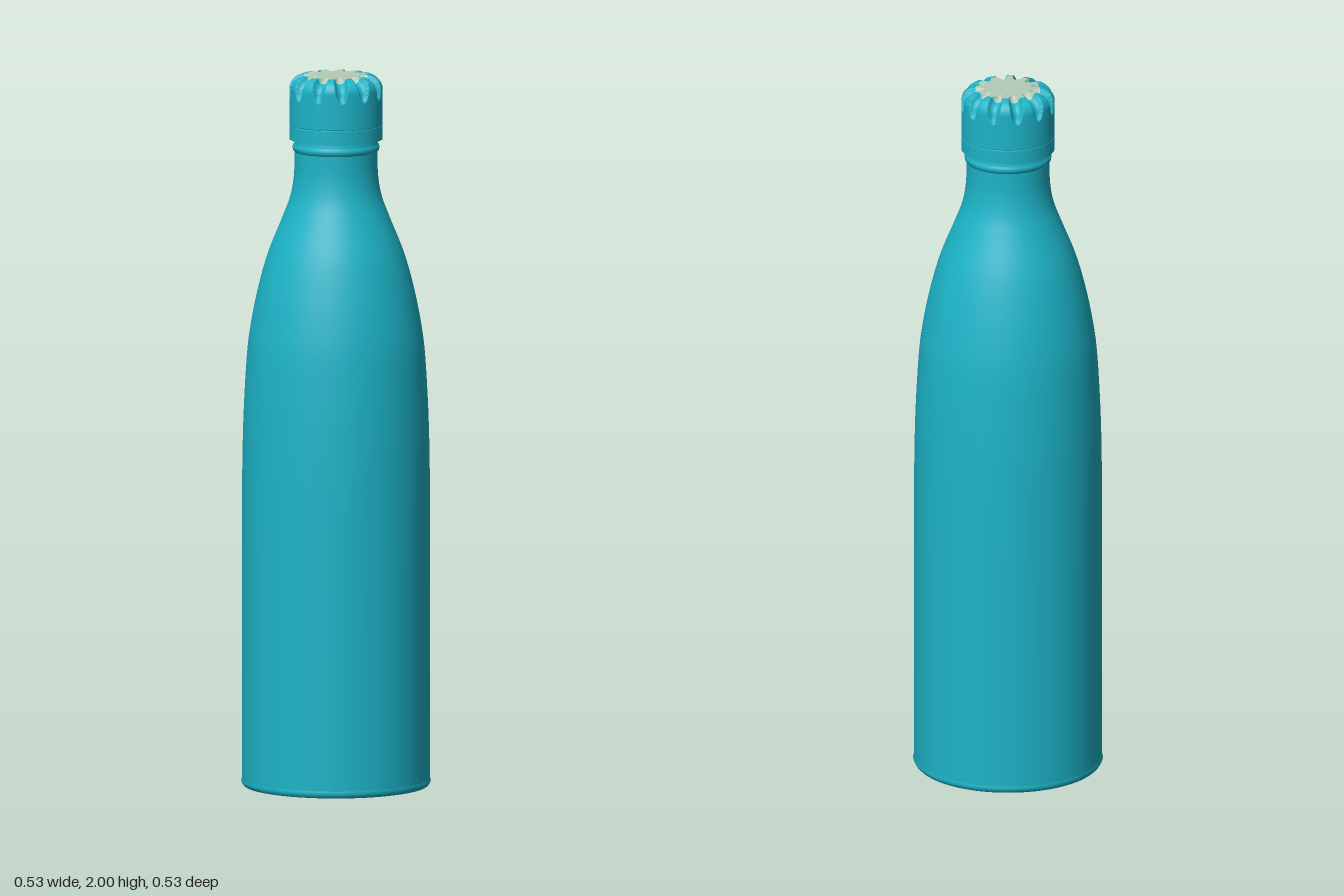
import * as THREE from 'three';

const TEAL = 0x1cb4c8, CREAM = 0xb4ccb8;
const CAP_R = 0.13, ROUND = 0.04, FLAT_R = CAP_R - ROUND, ARC = ROUND * Math.PI / 2;
const GROOVES = 12;

const material = (color) => new THREE.MeshStandardMaterial({ color, side: THREE.DoubleSide });

function lathe(name, points, color, segments = 96) {
  const mesh = new THREE.Mesh(new THREE.LatheGeometry(points, segments), material(color));
  mesh.name = name;
  return mesh;
}

const toPoints = (list) => list.map(([r, y]) => new THREE.Vector2(r, y));

// Cap outline by arc length s: flat top (s < 0), rounded shoulder, straight side
function capOutline(s) {
  if (s < 0) return { r: FLAT_R + s, y: 2, a: Math.PI / 2 };
  if (s > ARC) return { r: CAP_R, y: 2 - ROUND - (s - ARC), a: 0 };
  const a = Math.PI / 2 - s / ROUND;
  return { r: FLAT_R + ROUND * Math.cos(a), y: 2 - ROUND + ROUND * Math.sin(a), a };
}

// Part of the cap between two arc lengths, with the elliptical finger scoops pressed in
function scoopedSurface(name, sLow, sHigh, steps, color) {
  const samples = [];
  for (let j = 0; j <= steps; j++) samples.push(sLow + (sHigh - sLow) * j / steps);
  if (sHigh < -0.03) samples.push(-FLAT_R);
  const segments = GROOVES * 28, pitch = Math.PI * 2 / GROOVES;
  const outline = samples.map(capOutline);
  const geometry = new THREE.LatheGeometry(
    outline.map((p) => new THREE.Vector2(Math.max(p.r, 0), p.y)), segments, pitch / 2);
  const pos = geometry.attributes.position;
  for (let i = 0; i <= segments; i++) {
    const phi = pitch / 2 + i / segments * Math.PI * 2;
    const off = phi - Math.round(phi / pitch) * pitch;
    outline.forEach(({ r, y, a }, j) => {
      const across = r * off / 0.018, along = (samples[j] - ARC / 2) / 0.055;
      const depth = 0.018 * Math.sqrt(Math.max(0, 1 - across * across - along * along));
      const radius = Math.max(0, r - depth * Math.cos(a));
      pos.setXYZ(i * samples.length + j,
        radius * Math.sin(phi), y - depth * Math.sin(a), radius * Math.cos(phi));
    });
  }
  geometry.computeVertexNormals();
  const mesh = new THREE.Mesh(geometry, material(color));
  mesh.name = name;
  return mesh;
}

export function createModel() {
  const bottle = new THREE.Group();
  bottle.name = 'bottle';

  // Open-bottomed body sweeping up to the neck
  const curve = new THREE.SplineCurve(toPoints([
    [0.262, 0.02], [0.262, 0.4], [0.262, 0.75], [0.259, 1.0], [0.249, 1.2], [0.237, 1.3],
    [0.217, 1.4], [0.189, 1.5], [0.149, 1.6], [0.127, 1.66], [0.117, 1.72], [0.116, 1.785],
  ]));
  bottle.add(lathe('body', curve.getPoints(70), TEAL));
  bottle.add(lathe('baseRim', toPoints([[0.256, 0], [0.26, 0.004], [0.264, 0.012], [0.262, 0.02]]), TEAL));

  // Lip between neck and cap
  bottle.add(lathe('neckLip', toPoints([
    [0.115, 1.785], [0.12, 1.79], [0.121, 1.797], [0.12, 1.804], [0.115, 1.808], [0.115, 1.83],
  ]), TEAL));

  // Screw cap
  const cap = new THREE.Group();
  cap.name = 'cap';
  cap.add(lathe('capUnderside', toPoints([[0.112, 1.82], [CAP_R, 1.82]]), TEAL));
  cap.add(lathe('capBand', toPoints([[CAP_R, 1.82], [CAP_R, 1.858]]), TEAL));
  cap.add(lathe('capSeam', toPoints([[CAP_R, 1.858], [0.128, 1.86], [CAP_R, 1.862]]), TEAL));
  cap.add(lathe('capSide', toPoints([[CAP_R, 1.862], [CAP_R, 1.93]]), TEAL));
  cap.add(scoopedSurface('capShoulder', ARC + 0.03, 0, 48, TEAL));
  cap.add(scoopedSurface('capTop', 0, -0.032, 16, CREAM));
  cap.rotation.y = 0.04;
  bottle.add(cap);

  return bottle;
}
